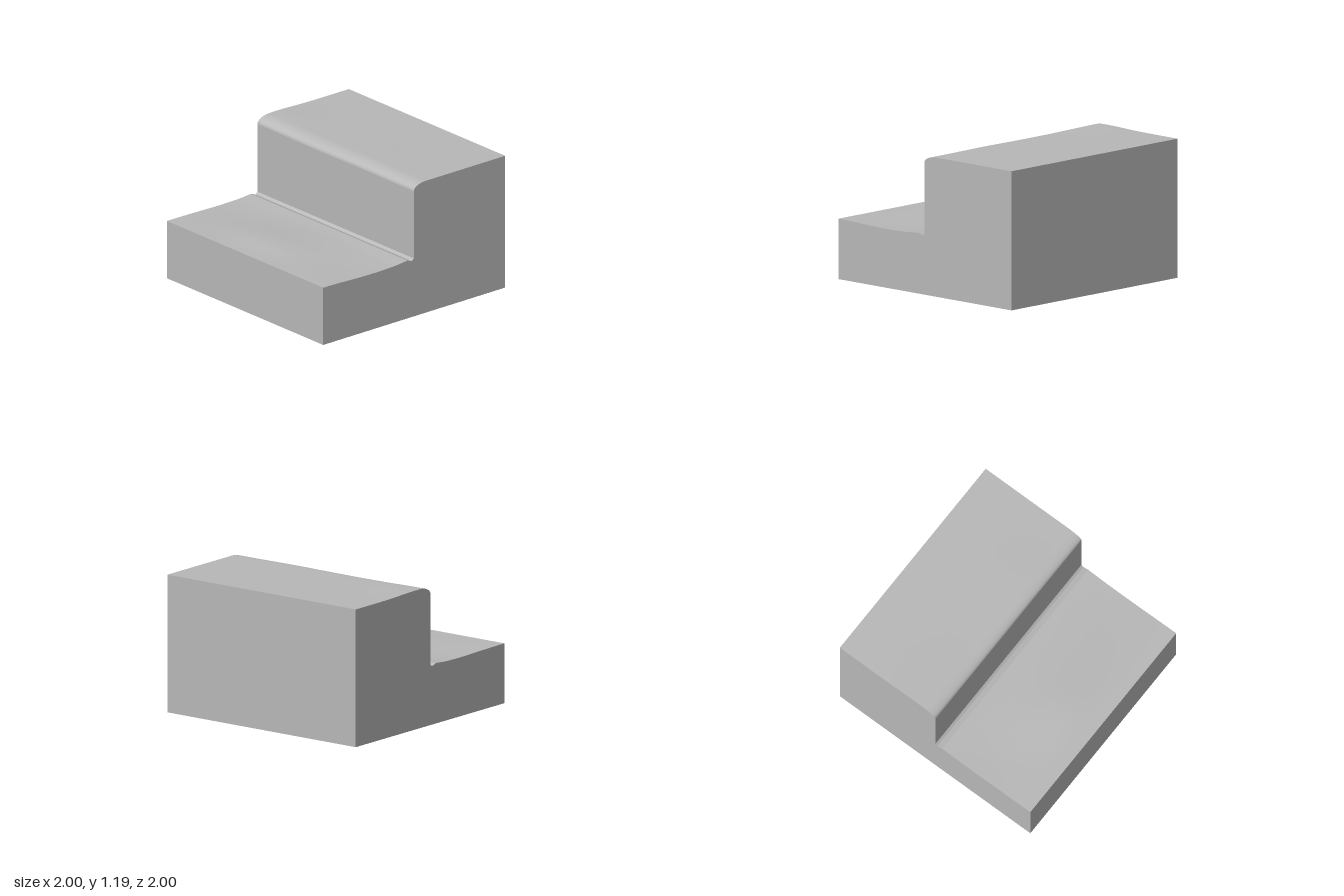
import * as THREE from 'three';

const stone = new THREE.MeshStandardMaterial({ color: 0xb8b8b8 });
stone.name = 'plain grey';

const ROWS = 32;
const WALL_X = -0.005;
const hill = (x, z, cx, cz, rx, rz) => Math.exp(-(((x - cx) / rx) ** 2) - ((z - cz) / rz) ** 2);
const lerp = THREE.MathUtils.lerp;

// Height of the low ledge, gently rolling and level along its outer edge
function lowHeight(x, z) {
  const fade = Math.min(1, (x + 1) / 0.25) * Math.min(1, (-0.02 - x) / 0.2);
  const roll = 0.018 * hill(x, z, -0.66, -0.1, 0.25, 0.4)
    - 0.013 * hill(x, z, -0.45, 1, 0.35, 0.5)
    - 0.010 * hill(x, z, -0.4, -0.8, 0.3, 0.4);
  return 0.513 + roll * fade + 0.006 * hill(x, 0, -0.08, 0, 0.06, 1);
}

// Height of the high ledge, with a rounded lip beside the wall
function highHeight(x, z) {
  const t = Math.min(1, Math.max(0, (x - WALL_X) / 0.13));
  const lip = 0.06 * (1 - Math.sqrt(1 - (1 - t) ** 2));
  const crest = 0.011 * hill(x, z, 0.2, -1, 0.25, 0.4)
    + 0.004 * hill(x, z, 0.2, 0.35, 0.3, 0.3);
  return 1.181 - lip + crest;
}

// Each section of the outline gives [x, y] for t in 0..1 at depth z
const sections = [
  { name: 'leftSide', n: 1, at: (t, z) => [-1, lerp(0, lowHeight(-1, z), t)] },
  { name: 'lowLedge', n: 20, at: (t, z) => {
    const x = lerp(-1, -0.075, t);
    return [x, lowHeight(x, z)];
  } },
  { name: 'gutterSlope', n: 1, at: (t, z) => [lerp(-0.075, -0.025, t), lerp(lowHeight(-0.075, z), 0.5, t)] },
  { name: 'gutterRise', n: 1, at: (t) => [lerp(-0.025, WALL_X, t), lerp(0.5, 0.52, t)] },
  { name: 'stepWall', n: 1, at: (t, z) => [WALL_X, lerp(0.52, highHeight(WALL_X, z), t)] },
  { name: 'highLedge', n: 36, at: (t, z) => {
    const x = lerp(WALL_X, 1, t ** 1.7);
    return [x, highHeight(x, z)];
  } },
  { name: 'rightSide', n: 1, at: (t, z) => [1, lerp(highHeight(1, z), 0, t)] },
  { name: 'base', n: 1, at: (t) => [lerp(1, -1, t), 0] },
];

// Sweep one section from back to front
function sweep({ n, at }) {
  const pos = [], index = [];
  for (let i = 0; i <= n; i++) {
    for (let j = 0; j <= ROWS; j++) {
      const z = lerp(-1, 1, j / ROWS);
      const [x, y] = at(i / n, z);
      pos.push(x, y, z);
      if (i < n && j < ROWS) {
        const a = i * (ROWS + 1) + j, c = a + ROWS + 1;
        index.push(a, a + 1, c, a + 1, c + 1, c);
      }
    }
  }
  const g = new THREE.BufferGeometry();
  g.setAttribute('position', new THREE.Float32BufferAttribute(pos, 3));
  g.setIndex(index);
  g.computeVertexNormals();
  return g;
}

// Flat end face closing the outline at z = -1 or 1
function endFace(z) {
  const pts = [];
  for (const { n, at } of sections) {
    for (let i = 0; i < n; i++) pts.push(new THREE.Vector2(...at(i / n, z)));
  }
  const g = new THREE.ShapeGeometry(new THREE.Shape(pts));
  g.translate(0, 0, z);
  if (z < 0) {
    g.setIndex(Array.from(g.index.array).reverse());
    g.computeVertexNormals();
  }
  return g;
}

export function createModel() {
  const group = new THREE.Group();
  group.name = 'steppedBlock';
  const add = (name, geometry) => {
    const mesh = new THREE.Mesh(geometry, stone);
    mesh.name = name;
    group.add(mesh);
  };
  for (const s of sections) add(s.name, sweep(s));
  add('frontFace', endFace(1));
  add('backFace', endFace(-1));
  return group;
}
